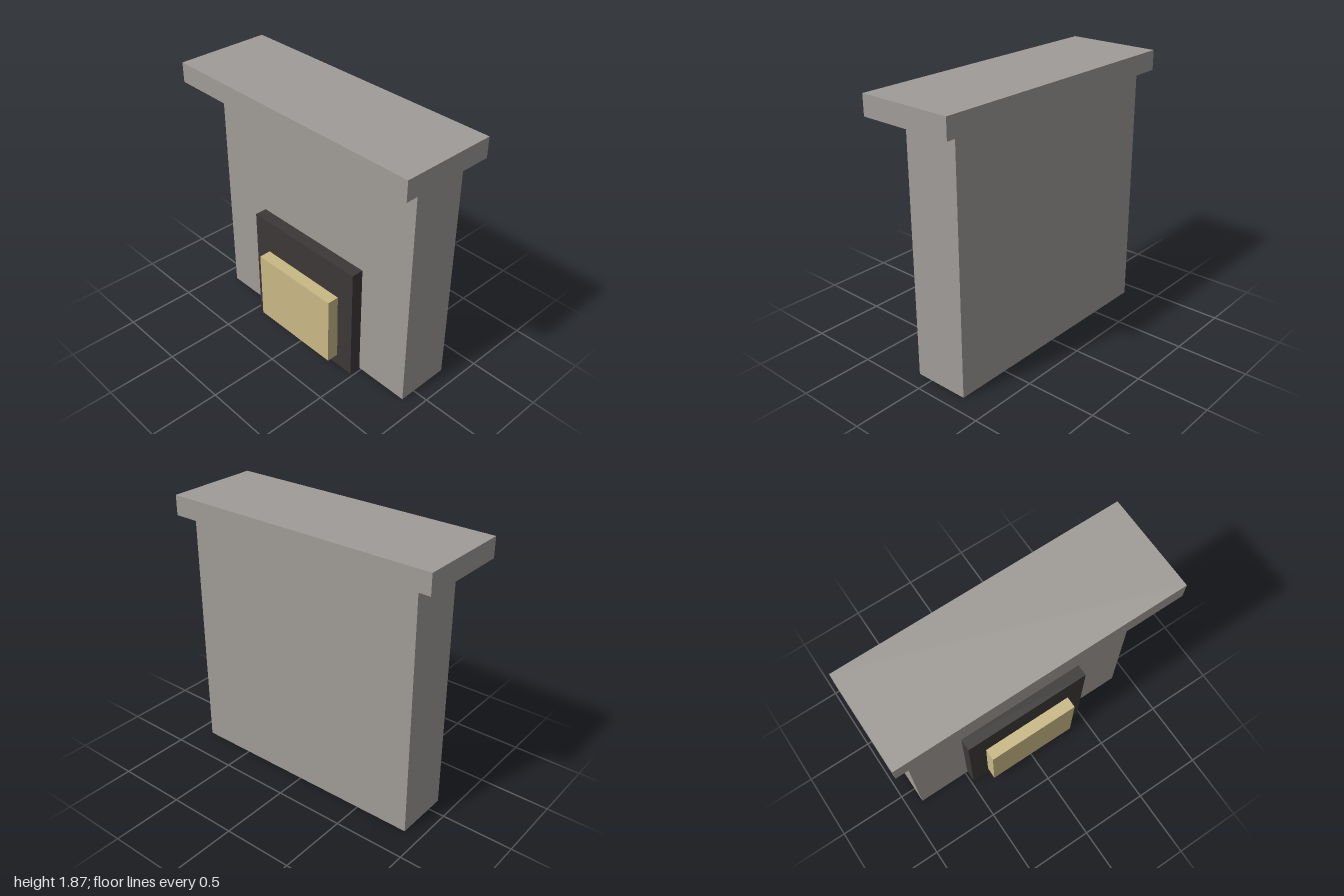
import * as THREE from 'three';

const stone = new THREE.MeshStandardMaterial({ name: 'stone', color: 0xa09c98 });
const soot = new THREE.MeshStandardMaterial({ name: 'soot', color: 0x3c3838 });
const brass = new THREE.MeshStandardMaterial({ name: 'brass', color: 0xc9b985 });

// Box given by its x and y ranges and its width along z, centred on z = 0
function block(name, material, [x0, x1], [y0, y1], width) {
  const mesh = new THREE.Mesh(new THREE.BoxGeometry(x1 - x0, y1 - y0, width), material);
  mesh.name = name;
  mesh.position.set((x0 + x1) / 2, (y0 + y1) / 2, 0);
  return mesh;
}

export function createModel() {
  const group = new THREE.Group();
  group.name = 'fireplace';
  group.add(
    // Upright chimney breast and the overhanging shelf on top
    block('chimneyBreast', stone, [-0.113, 0.285], [0, 1.733], 1.77),
    block('mantelShelf', stone, [-0.34, 0.34], [1.733, 1.873], 2),
    // Dark firebox plate with the raised screen in front of it
    block('firebox', soot, [-0.2, -0.113], [0, 0.858], 0.96),
    block('fireScreen', brass, [-0.286, -0.2], [0.088, 0.603], 0.695),
  );
  return group;
}
